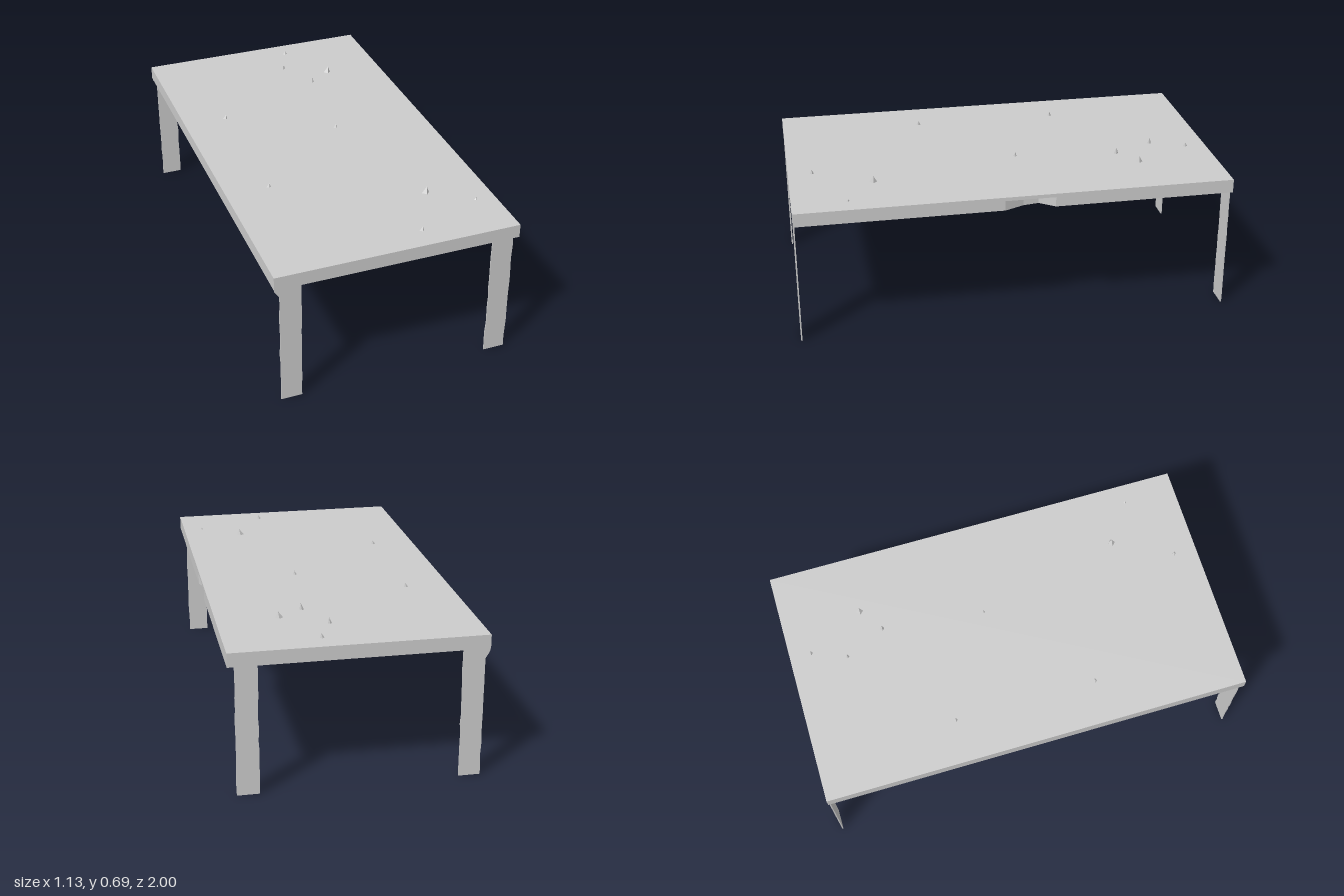
import * as THREE from 'three';

const W = 0.563, L = 1, LEG = 0.6, BOTTOM = 0.592, LID = 0.638, TOP = 0.655;
const mat = new THREE.MeshStandardMaterial({ color: 0xcccccc, flatShading: true, side: THREE.DoubleSide });

function add(group, name, geometry) {
  const mesh = new THREE.Mesh(geometry, mat);
  mesh.name = name;
  group.add(mesh);
  return mesh;
}

// Small repeatable wobble for the worn edges
let seed = 7;
function wobble(amount) {
  seed = (seed * 16807) % 2147483647;
  return (seed / 2147483647 - 0.5) * 2 * amount;
}

const toPoints = (list) => list.map(([x, z]) => new THREE.Vector2(x, -z));

// Plan outline given as [x, z], raised from y0 to y1
function slab(outline, hole, y0, y1) {
  const shape = new THREE.Shape(toPoints(outline));
  if (hole) shape.holes.push(new THREE.Path(toPoints(hole)));
  const geo = new THREE.ExtrudeGeometry(shape, { depth: y1 - y0, bevelEnabled: false });
  return geo.rotateX(-Math.PI / 2).translate(0, y0, 0);
}

// Thin flat leg with ragged sides; flare widens the top outer corner
function legGeometry(x0, x1, flare) {
  const shape = new THREE.Shape();
  const steps = 12;
  shape.moveTo(x0, 0);
  shape.lineTo(x1, 0);
  for (let i = 1; i < steps; i++) shape.lineTo(x1 + wobble(0.0025), (LEG * i) / steps);
  shape.lineTo(x1, LEG);
  shape.lineTo(x0 - flare, LEG);
  if (flare) shape.lineTo(x0 - flare * 0.9, LEG - 0.02);
  for (let i = steps - 1; i > 0; i--) shape.lineTo(x0 + wobble(0.0025), (LEG * i) / steps);
  return new THREE.ExtrudeGeometry(shape, { depth: 0.006, bevelEnabled: false }).translate(0, 0, -0.003);
}

// Four-sided splinter from a base point to a tip
function splinter(base, tip, radius) {
  const a = new THREE.Vector3(...base), dir = new THREE.Vector3(...tip).sub(a);
  const geo = new THREE.ConeGeometry(radius, dir.length(), 4).translate(0, dir.length() / 2, 0);
  geo.applyQuaternion(new THREE.Quaternion().setFromUnitVectors(new THREE.Vector3(0, 1, 0), dir.normalize()));
  return geo.translate(a.x, a.y, a.z);
}

export function createModel() {
  const model = new THREE.Group();
  model.name = 'table';

  // Table top: a lid over a lower frame with a stepped recess and a chipped side
  add(model, 'tabletop', slab([[-W, -L], [W, -L], [W, L], [-W, L]], null, LID, TOP));
  const chipped = [[-W, -L], [W, -L], [W, -0.17], [W - 0.05, -0.1], [W - 0.04, -0.03], [W, 0.06], [W, L], [-W, L]];
  const recess = [
    [0.41, -0.63], [0.25, -0.63], [0.25, -0.9], [-0.25, -0.9], [-0.25, -0.63], [-0.41, -0.63],
    [-0.41, 0.63], [-0.25, 0.63], [-0.25, 0.9], [0.25, 0.9], [0.25, 0.63], [0.41, 0.63],
  ];
  add(model, 'underFrame', slab(chipped, recess, BOTTOM, LID));

  // Legs flush with the front and back ends
  for (const end of [1, -1]) {
    const side = end > 0 ? 'front' : 'back';
    add(model, side + 'RightLeg', legGeometry(-0.54, -0.443, 0.022)).position.z = end * 0.996;
    add(model, side + 'LeftLeg', legGeometry(0.435, 0.533, 0)).position.z = end * 0.996;
  }

  // Small splinters breaking through the top: x, z, height, radius
  const upper = [
    [-0.36, -0.34, 0.02, 0.012], [-0.36, 0.33, 0.02, 0.012], [0.08, -0.74, 0.03, 0.01], [0.115, -0.07, 0.02, 0.01],
    [0.145, -0.9, 0.022, 0.012], [0.17, -0.55, 0.032, 0.012], [0.285, -0.63, 0.03, 0.02], [0.285, 0.62, 0.03, 0.02],
    [0.145, 0.89, 0.02, 0.012], [0.47, 0.75, 0.01, 0.01],
  ];
  for (const [x, z, h, r] of upper)
    add(model, 'topSplinter', splinter([x, TOP - 0.005, z], [x + 0.005, TOP + h, z], r));

  // Splinters hanging inside the recess
  const lower = [
    [[0.38, 0.72], [0.33, 0.53, 0.62]], [[0.38, -0.71], [0.33, 0.52, -0.62]],
    [[0.36, 0.51], [0.32, 0.56, 0.46]], [[0.36, -0.53], [0.32, 0.56, -0.59]],
    [[-0.36, 0.36], [-0.3, 0.555, 0.34]], [[-0.37, -0.36], [-0.31, 0.56, -0.34]],
    [[0.38, -0.08], [0.34, 0.55, -0.1]], [[0.38, -0.12], [0.35, 0.54, -0.13]], [[0.39, -0.16], [0.36, 0.55, -0.15]],
  ];
  for (const [[x, z], tip] of lower)
    add(model, 'underSplinter', splinter([x, LID, z], tip, 0.012));

  // Large torn flap under the middle
  const flap = new THREE.BufferGeometry();
  flap.setAttribute('position', new THREE.Float32BufferAttribute(
    [0.39, LID, 0.17, 0.37, LID, 0.09, 0.35, 0.54, 0.15, 0.37, LID, 0.09, 0.3, 0.48, 0.08, 0.35, 0.54, 0.15], 3));
  flap.computeVertexNormals();
  add(model, 'tornFlap', flap);

  return model;
}
